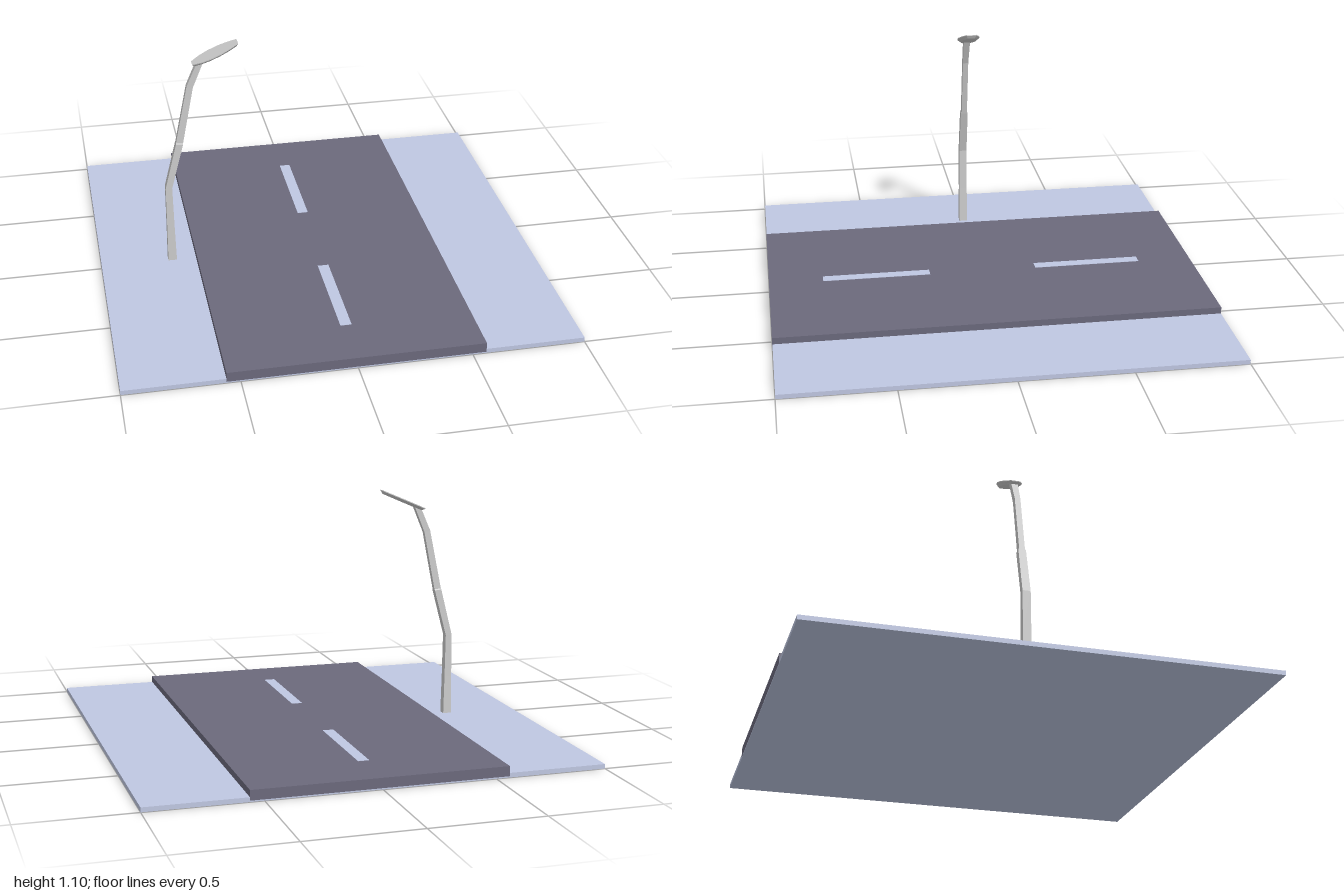
import * as THREE from 'three';

const mat = (color) => new THREE.MeshStandardMaterial({ color, flatShading: true });

// Skin a closed solid over rings of points, ordered bottom to top
function loft(rings) {
  const pos = [];
  const tri = (...pts) => pts.forEach((p) => pos.push(...p));
  const n = rings[0].length;
  for (let i = 0; i < rings.length - 1; i++) {
    for (let j = 0; j < n; j++) {
      const k = (j + 1) % n;
      const [lo, hi] = [rings[i], rings[i + 1]];
      tri(lo[j], lo[k], hi[k]);
      tri(lo[j], hi[k], hi[j]);
    }
  }
  const bottom = rings[0], top = rings[rings.length - 1];
  for (let j = 1; j < n - 1; j++) {
    tri(bottom[0], bottom[j + 1], bottom[j]);
    tri(top[0], top[j], top[j + 1]);
  }
  const geometry = new THREE.BufferGeometry();
  geometry.setAttribute('position', new THREE.Float32BufferAttribute(pos, 3));
  geometry.computeVertexNormals();
  return geometry;
}

export function createModel() {
  const model = new THREE.Group();
  model.name = 'roadSection';
  const pavement = mat(0xbfc7e2), asphalt = mat(0x6b697c), metal = mat(0xcccccc);

  const add = (name, geometry, material, x = 0, y = 0, z = 0) => {
    const mesh = new THREE.Mesh(geometry, material);
    mesh.name = name;
    mesh.position.set(x, y, z);
    model.add(mesh);
    return mesh;
  };

  // Ground slab and raised road; the road ends stand just proud of the slab
  add('groundSlab', new THREE.BoxGeometry(2, 0.02, 1.998), pavement, 0, 0.01, 0);
  add('road', new THREE.BoxGeometry(1.12, 0.044, 2), asphalt, 0, 0.028, 0);

  // Centre line dashes
  for (const z of [-0.5, 0.5]) {
    add('laneDash', new THREE.BoxGeometry(0.05, 0.004, 0.5), pavement, 0, 0.0495, z);
  }

  // Bent square lamp post: centre x, height, half width, half depth, slope of the cut
  const sections = [
    [-0.67, 0.015, 0.02, 0.019, 0],
    [-0.671, 0.2, 0.017, 0.018, 0],
    [-0.672, 0.4, 0.015, 0.018, 0],
    [-0.615, 0.62, 0.016, 0.017, -0.1],
    [-0.614, 0.625, 0.016, 0.013, -0.1],
    [-0.558, 0.9, 0.014, 0.013, -0.3],
    [-0.512, 1.008, 0.017, 0.015, 0.42],
  ];
  const corners = [[1, 1], [1, -1], [-1, -1], [-1, 1]];
  add('lampPost', loft(sections.map(([x, y, w, d, s]) =>
    corners.map(([i, k]) => [x + i * w, y + i * w * s, k * d]))), metal);

  // Lamp head: a leaf-shaped plate with a smaller underside, tilted up over the road
  const half = [[-0.112, 0.02], [-0.07, 0.041], [-0.03, 0.05], [0.02, 0.05], [0.065, 0.041], [0.112, 0.024]];
  const outline = [...half, ...half.map(([u, w]) => [u, -w]).reverse()];
  const ring = (y, su, sw) => outline.map(([u, w]) => [u * su, y, w * sw]);
  const head = add('lampHead', loft([ring(-0.015, 0.88, 0.7), ring(-0.004, 1, 1), ring(0, 1, 1)]),
    metal, -0.442, 1.054, 0);
  head.rotation.z = 0.41;

  return model;
}
